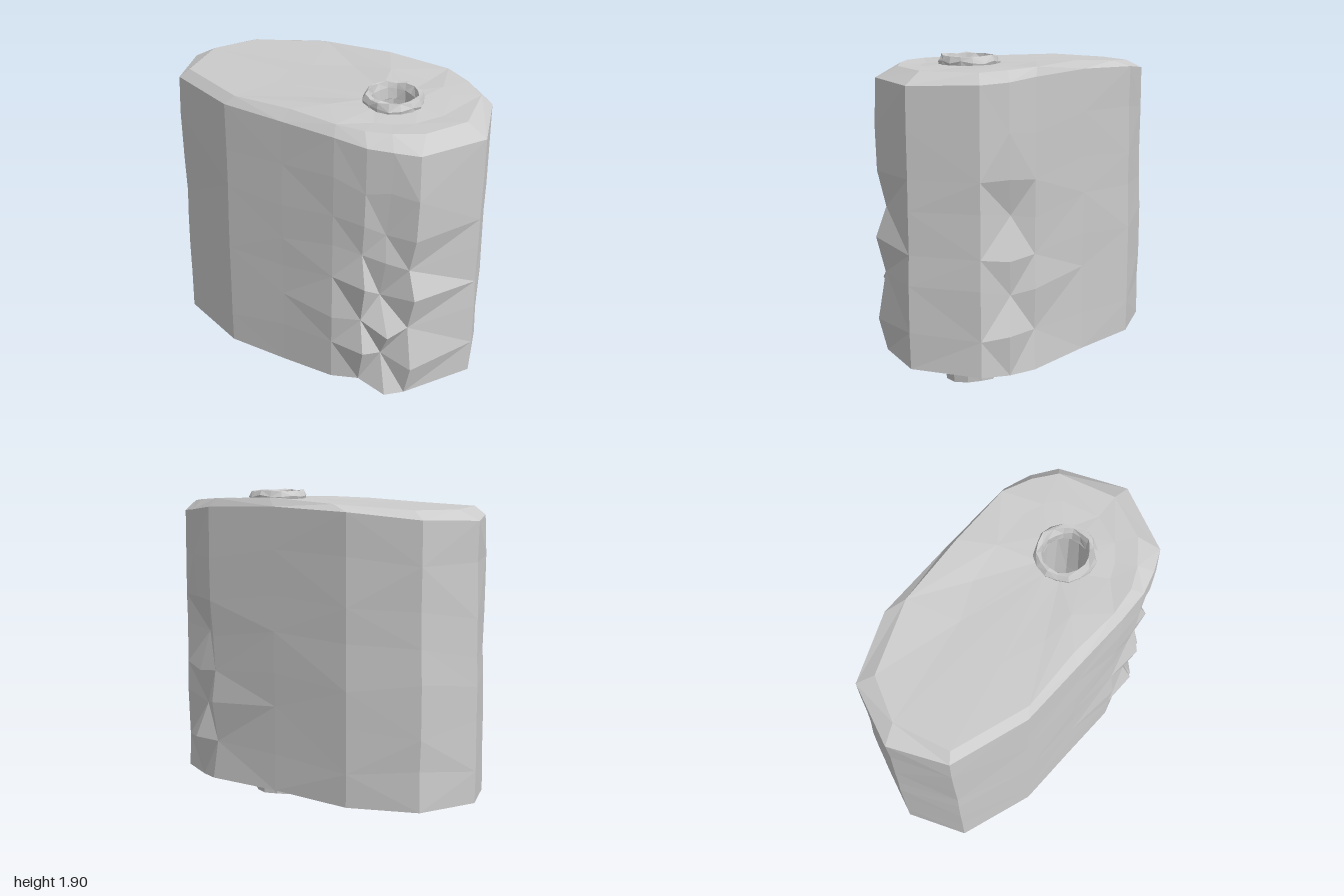
import * as THREE from 'three';

const material = new THREE.MeshStandardMaterial({
  color: 0xcccccc, flatShading: true, side: THREE.DoubleSide,
});

// Plan outline of the body: [x, z, bottom y, wall top y, cap x, cap z, cap y]
const outline = [
  [1.00, 0.00, 0.21, 1.77, 0.88, 0.00, 1.84],
  [0.84, -0.37, 0.19, 1.78, 0.79, -0.33, 1.84],
  [0.70, -0.46, 0.17, 1.79, 0.66, -0.42, 1.85],
  [0.53, -0.51, 0.18, 1.81, 0.49, -0.49, 1.86],
  [0.05, -0.51, 0.18, 1.82, 0.10, -0.48, 1.87],
  [-0.45, -0.51, 0.16, 1.80, -0.33, -0.46, 1.84],
  [-0.84, -0.36, 0.16, 1.76, -0.75, -0.30, 1.81],
  [-0.99, -0.01, 0.16, 1.75, -0.88, -0.05, 1.81],
  [-0.85, 0.32, 0.14, 1.77, -0.80, 0.28, 1.82],
  [-0.40, 0.47, 0.15, 1.78, -0.35, 0.43, 1.83],
  [0.00, 0.48, 0.18, 1.79, 0.02, 0.42, 1.85],
  [0.35, 0.49, 0.22, 1.80, 0.33, 0.44, 1.855],
  [0.55, 0.48, 0.24, 1.79, 0.50, 0.42, 1.855],
  [0.69, 0.44, 0.19, 1.79, 0.63, 0.36, 1.85],
  [0.82, 0.38, 0.19, 1.78, 0.77, 0.25, 1.845],
];
const levels = [0, 0.14, 0.28, 0.42, 0.55, 0.68, 0.84, 1];
const hole = { x: 0.43, z: 0.02 };

// Chips in the two corners: column -> inward push at each level
const chips = {
  2: [0.03, 0.0, 0.06, 0.02, 0.07, 0.01, 0, 0],
  3: [0, 0.03, 0, 0.02, 0.01, 0, 0, 0],
  11: [0, -0.01, -0.02, 0, 0.01, 0, 0, 0],
  12: [0.04, -0.03, 0.03, -0.03, 0.03, 0.01, 0, 0],
  13: [0.0, 0.06, -0.01, 0.08, 0.03, 0.04, 0.01, 0],
  14: [0.04, 0, 0.03, 0.0, 0.04, 0.0, 0, 0],
};

function seeded(seed) {
  return () => {
    seed = (seed * 16807) % 2147483647;
    return seed / 2147483647 - 0.5;
  };
}

// Joins closed rings of equal point count into one faceted surface
function loft(rings) {
  const n = rings[0].length;
  const geometry = new THREE.BufferGeometry();
  const index = [];
  for (let r = 0; r < rings.length - 1; r++) {
    for (let i = 0; i < n; i++) {
      const a = r * n + i, b = r * n + (i + 1) % n, c = a + n, d = b + n;
      if ((r + i) % 2) index.push(a, b, c, b, d, c);
      else index.push(a, b, d, a, d, c);
    }
  }
  geometry.setAttribute('position', new THREE.Float32BufferAttribute(rings.flat(2), 3));
  geometry.setIndex(index);
  const faceted = geometry.toNonIndexed();
  faceted.computeVertexNormals();
  return faceted;
}

function part(name, geometry) {
  const mesh = new THREE.Mesh(geometry, material);
  mesh.name = name;
  return mesh;
}

// Hollow wall, open underneath
function makeWall() {
  const rnd = seeded(11);
  return loft(levels.map((t, k) => outline.map(([x, z, y0, y1], i) => {
    const end = k === levels.length - 1;
    const push = 1 - (chips[i] ? chips[i][k] : 0) * 1.6 + (end ? 0 : rnd() * 0.016);
    const shift = k === 0 || end ? 0 : rnd() * 0.08;
    const taper = z > 0 ? 1.05 - 0.06 * t : 1;
    return [Math.max(-1, Math.min(1, x * push)), y0 + (y1 - y0) * t + shift, z * push * taper];
  })));
}

// Bevelled shoulder and gently uneven top running in to the hole
function makeTop() {
  const rnd = seeded(5);
  const shoulder = outline.map(([x, z, , y]) => [x, y, z * (z > 0 ? 0.99 : 1)]);
  const edge = outline.map(([, , , , x, z, y]) => [x, y, z]);
  const rim = edge.map(([x, , z]) => {
    const a = Math.atan2(z - hole.z, x - hole.x);
    return [hole.x + 0.15 * Math.cos(a), 1.85, hole.z + 0.15 * Math.sin(a)];
  });
  const middle = edge.map((p, i) => p.map((v, j) =>
    v + (rim[i][j] - v) * 0.5 + (j === 1 ? rnd() * 0.025 : 0)));
  return loft([shoulder, edge, middle, rim]);
}

// Round part about the hole axis from [radius, y] pairs, roughened a little
function roundPart(profile, sides, rough, seed) {
  const rnd = seeded(seed);
  return loft(profile.map(([r, y]) => Array.from({ length: sides }, (_, i) => {
    const a = -i / sides * Math.PI * 2;
    const q = r + rnd() * rough;
    return [hole.x + q * Math.cos(a), Math.max(0, y + rnd() * rough), hole.z + q * Math.sin(a)];
  })));
}

export function createModel() {
  const model = new THREE.Group();
  model.name = 'hollowBlock';
  model.add(part('wall', makeWall()));
  model.add(part('top', makeTop()));
  model.add(part('pipeRim', roundPart(
    [[0.168, 1.82], [0.172, 1.865], [0.157, 1.898], [0.135, 1.897], [0.124, 1.86], [0.126, 1.8]],
    16, 0.016, 3)));
  model.add(part('pipe', roundPart(
    [[0.126, 1.8], [0.135, 1.4], [0.145, 0.9], [0.16, 0.45], [0.17, 0.2], [0.168, 0.11], [0.155, 0.015]],
    12, 0.012, 8)));
  return model;
}
